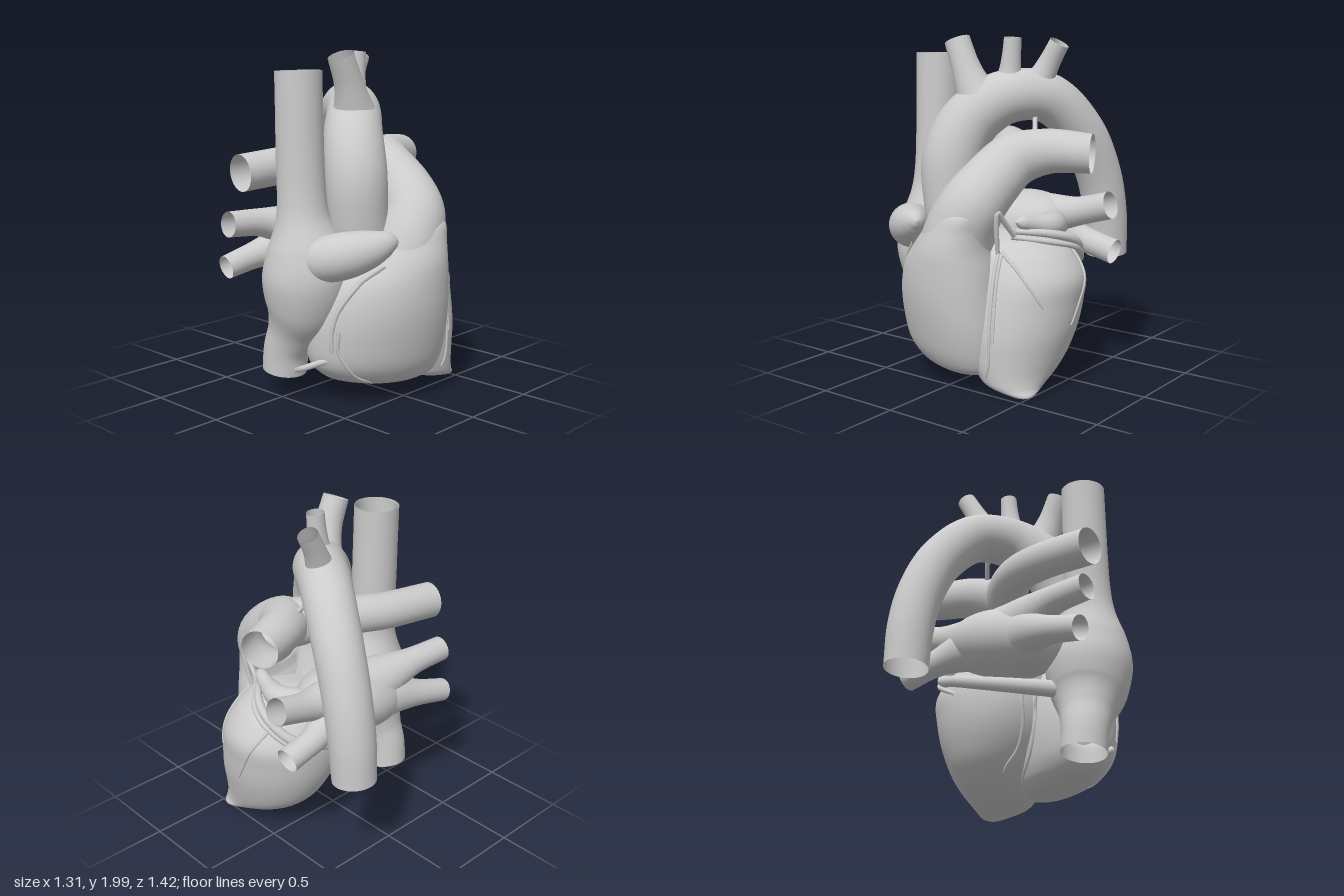
import * as THREE from 'three';
import { mergeVertices } from 'three/addons/utils/BufferGeometryUtils.js';

const material = new THREE.MeshStandardMaterial({ color: 0xcccccc, side: THREE.DoubleSide });
const spline = (pts) => new THREE.CatmullRomCurve3(pts.map((p) => new THREE.Vector3(...p)));

// Welds seams and poles, then gives smooth normals
function smoothMesh(name, geometry) {
  geometry.deleteAttribute('uv');
  geometry.deleteAttribute('normal');
  const welded = mergeVertices(geometry, 1e-4);
  welded.computeVertexNormals();
  const mesh = new THREE.Mesh(welded, material);
  mesh.name = name;
  return mesh;
}

// Open vessel through points [x, y, z, radius]
function vessel(name, pts, sides = 32, steps = 48) {
  const path = spline(pts.map((p) => p.slice(0, 3)));
  const radii = spline(pts.map((p, i) => [p[3], i, 0]));
  const geo = new THREE.TubeGeometry(path, steps, 1, sides, false);
  const pos = geo.attributes.position, nor = geo.attributes.normal;
  for (let i = 0; i < pos.count; i++) {
    const u = Math.floor(i / (sides + 1)) / steps;
    const c = path.getPointAt(u);
    const r = radii.getPoint(path.getUtoTmapping(u)).x;
    pos.setXYZ(i, c.x + nor.getX(i) * r, c.y + nor.getY(i) * r, c.z + nor.getZ(i) * r);
  }
  return smoothMesh(name, geo);
}

// Closed body from level sections [y, centreX, centreZ, radiusX, radiusZ];
// shear pushes each section forward on its left and back on its right
function body(name, sections, shear = 0) {
  const centres = spline(sections.map(([y, x, z]) => [x, y, z]));
  const radii = spline(sections.map(([y, , , rx, rz]) => [rx, y, rz]));
  const geo = new THREE.CylinderGeometry(1, 1, 1, 72, 80, true);
  const pos = geo.attributes.position;
  for (let i = 0; i < pos.count; i++) {
    const t = Math.min(1, Math.max(0, pos.getY(i) + 0.5));
    const c = centres.getPoint(t), r = radii.getPoint(t);
    const dx = pos.getX(i) * r.x;
    pos.setXYZ(i, c.x + dx, c.y, c.z + pos.getZ(i) * r.z + shear * dx);
  }
  return smoothMesh(name, geo);
}

// Thin vessel laid on a surface; points along its path are cast from one side
function surfaceVessel(name, targets, side, pts, r) {
  const hits = [];
  for (const { x: a, y: b } of spline(pts.map((p) => [...p, 0])).getPoints(14)) {
    const origin = { front: [a, b, 3], back: [a, b, -3], left: [3, b, a] }[side];
    const dir = { front: [0, 0, -1], back: [0, 0, 1], left: [-1, 0, 0] }[side];
    const ray = new THREE.Raycaster(new THREE.Vector3(...origin), new THREE.Vector3(...dir));
    const hit = ray.intersectObjects(targets)[0];
    if (hit) hits.push([...hit.point.toArray(), r]);
  }
  hits.forEach((h, i) => { h[3] = r * (1 - 0.4 * i / hits.length); });
  return vessel(name, hits, 8, 48);
}

export function createModel() {
  const heart = new THREE.Group();
  heart.name = 'heart';

  // Ventricles
  const leftVentricle = body('leftVentricle', [
    [0, 0.475, 0.43, 0, 0], [0.015, 0.46, 0.42, 0.065, 0.06], [0.06, 0.36, 0.35, 0.17, 0.18],
    [0.12, 0.325, 0.285, 0.22, 0.26], [0.2, 0.3, 0.24, 0.27, 0.315], [0.35, 0.275, 0.2, 0.335, 0.36],
    [0.5, 0.265, 0.17, 0.365, 0.37], [0.65, 0.27, 0.15, 0.365, 0.35], [0.78, 0.24, 0.15, 0.31, 0.29],
    [0.86, 0.22, 0.16, 0.2, 0.2], [0.89, 0.2, 0.16, 0, 0],
  ]);
  const rightVentricle = body('rightVentricle', [
    [0.065, 0.02, 0.34, 0, 0], [0.078, 0.01, 0.34, 0.17, 0.13], [0.13, -0.03, 0.34, 0.31, 0.22],
    [0.22, -0.065, 0.34, 0.37, 0.27], [0.38, -0.075, 0.35, 0.39, 0.305], [0.55, -0.075, 0.37, 0.375, 0.315],
    [0.7, -0.055, 0.4, 0.335, 0.295], [0.82, -0.01, 0.44, 0.265, 0.255], [0.93, 0.04, 0.465, 0.21, 0.207],
    [1.02, 0.085, 0.465, 0.175, 0.18], [1.1, 0.12, 0.45, 0.1, 0.11], [1.13, 0.13, 0.44, 0, 0],
  ], 0.28);
  const ventricles = [leftVentricle, rightVentricle];
  heart.add(...ventricles);

  // Left atrium, a broad chamber tilted up to the left
  const atrium = new THREE.SphereGeometry(1, 48, 32).scale(0.38, 0.205, 0.26).rotateZ(0.2).translate(0, 0.855, -0.15);
  heart.add(smoothMesh('leftAtrium', atrium));

  // Right atrium, hollow right through with both great veins
  heart.add(vessel('rightAtriumAndGreatVeins', [
    [-0.42, 1.885, 0.07, 0.133], [-0.42, 1.65, 0.075, 0.134], [-0.42, 1.4, 0.08, 0.136],
    [-0.42, 1.2, 0.09, 0.139], [-0.42, 1.06, 0.1, 0.155], [-0.41, 0.9, 0.11, 0.218],
    [-0.405, 0.72, 0.11, 0.253], [-0.41, 0.54, 0.085, 0.222], [-0.425, 0.4, 0.03, 0.16],
    [-0.44, 0.28, -0.02, 0.135], [-0.44, 0.15, -0.04, 0.13],
  ], 48, 90));
  heart.add(vessel('superiorVenaCavaLining', [[-0.42, 1.88, 0.07, 0.118], [-0.42, 1.5, 0.078, 0.12], [-0.42, 1.15, 0.092, 0.128]], 32, 16));

  // Auricles
  heart.add(vessel('rightAuricle', [
    [-0.46, 0.82, 0.18, 0.1], [-0.44, 0.85, 0.28, 0.13], [-0.37, 0.885, 0.4, 0.13],
    [-0.28, 0.92, 0.49, 0.105], [-0.2, 0.95, 0.55, 0.065], [-0.165, 0.957, 0.575, 0.03], [-0.155, 0.96, 0.582, 0.001],
  ]));
  heart.add(vessel('leftAuricle', [
    [0.2, 0.88, -0.15, 0.1], [0.33, 0.9, -0.06, 0.085], [0.39, 0.915, 0.05, 0.072],
    [0.37, 0.935, 0.17, 0.05], [0.34, 0.96, 0.27, 0.035], [0.33, 0.965, 0.31, 0.001],
  ]));

  // Aorta with its arch and the three arch branches
  heart.add(vessel('aorta', [
    [-0.1, 0.8, 0.25, 0.18], [-0.15, 1.05, 0.27, 0.175], [-0.155, 1.3, 0.26, 0.18],
    [-0.09, 1.5, 0.18, 0.172], [0.06, 1.635, 0.04, 0.158], [0.21, 1.625, -0.17, 0.148],
    [0.32, 1.42, -0.37, 0.142], [0.37, 1.15, -0.5, 0.138], [0.385, 0.9, -0.56, 0.135],
    [0.385, 0.645, -0.582, 0.128],
  ], 40, 90));
  const branches = {
    brachiocephalicArtery: [[-0.03, 1.59, 0.14, 0.15], [-0.085, 1.71, 0.165, 0.105], [-0.13, 1.82, 0.175, 0.083], [-0.19, 1.965, 0.175, 0.076]],
    leftCarotidArtery: [[0.07, 1.67, 0.03, 0.1], [0.085, 1.78, 0.03, 0.068], [0.095, 1.87, 0.03, 0.056], [0.105, 1.98, 0.03, 0.051]],
    leftSubclavianArtery: [[0.16, 1.65, -0.09, 0.11], [0.215, 1.76, -0.115, 0.077], [0.26, 1.85, -0.13, 0.063], [0.315, 1.95, -0.14, 0.059]],
  };
  for (const [name, pts] of Object.entries(branches)) heart.add(vessel(name, pts, 28, 28));

  // Pulmonary trunk running into the left artery, with the right artery behind the aorta
  heart.add(vessel('pulmonaryTrunk', [
    [0.02, 0.8, 0.45, 0.22], [0.075, 0.94, 0.465, 0.2], [0.135, 1.06, 0.445, 0.185],
    [0.18, 1.18, 0.34, 0.17], [0.22, 1.29, 0.18, 0.157], [0.36, 1.34, 0.045, 0.13],
    [0.6, 1.335, -0.055, 0.113],
  ], 36, 64));
  heart.add(vessel('rightPulmonaryArtery', [
    [0.215, 1.26, 0.22, 0.13], [0.18, 1.3, 0.13, 0.145], [0.09, 1.335, 0.02, 0.125], [-0.04, 1.345, -0.08, 0.113],
    [-0.25, 1.33, -0.16, 0.11], [-0.61, 1.305, -0.21, 0.108],
  ]));
  heart.add(vessel('arterialLigament', [[0.2, 1.55, -0.06, 0.018], [0.23, 1.48, -0.02, 0.014], [0.27, 1.4, 0.04, 0.018]], 10, 12));

  // Pulmonary veins, flared where they leave the left atrium
  const veins = {
    rightUpperPulmonaryVein: [[-0.08, 0.9, -0.19, 0.18], [-0.24, 0.95, -0.24, 0.125], [-0.4, 0.985, -0.275, 0.085], [-0.63, 1.0, -0.3, 0.075]],
    rightLowerPulmonaryVein: [[-0.08, 0.84, -0.2, 0.18], [-0.24, 0.82, -0.27, 0.125], [-0.4, 0.785, -0.32, 0.083], [-0.61, 0.735, -0.35, 0.07]],
    leftUpperPulmonaryVein: [[0.1, 0.9, -0.17, 0.17], [0.26, 0.935, -0.19, 0.12], [0.42, 0.965, -0.205, 0.086], [0.63, 1.02, -0.215, 0.08]],
    leftLowerPulmonaryVein: [[0.1, 0.86, -0.18, 0.17], [0.26, 0.83, -0.24, 0.115], [0.42, 0.78, -0.28, 0.078], [0.62, 0.73, -0.285, 0.074]],
  };
  for (const [name, pts] of Object.entries(veins)) heart.add(vessel(name, pts, 28, 28));

  // Coronary vessels around the groove
  heart.add(vessel('coronarySinus', [
    [0.32, 0.91, 0.3, 0.015], [0.46, 0.89, 0.15, 0.024], [0.52, 0.84, 0, 0.027], [0.46, 0.73, -0.14, 0.03],
    [0.3, 0.67, -0.22, 0.035], [0.1, 0.62, -0.2, 0.04], [-0.1, 0.58, -0.14, 0.045], [-0.3, 0.55, -0.04, 0.05],
  ], 16, 60));
  heart.add(vessel('circumflexArtery', [
    [0.31, 0.88, 0.32, 0.014], [0.47, 0.85, 0.18, 0.016], [0.54, 0.8, 0.01, 0.016], [0.47, 0.69, -0.15, 0.015], [0.32, 0.6, -0.2, 0.012],
  ], 12, 48));
  heart.add(vessel('leftCoronaryArtery', [
    [0.29, 0.8, 0.42, 0.012], [0.305, 0.93, 0.45, 0.014], [0.315, 1.04, 0.46, 0.015], [0.32, 0.97, 0.39, 0.015], [0.33, 0.89, 0.32, 0.014],
  ], 10, 36));

  // Coronary vessels lying on the ventricles
  const coronaries = [
    ['anteriorArtery', 'front', [[0.315, 0.8], [0.335, 0.66], [0.35, 0.48], [0.355, 0.33]], 0.011],
    ['anteriorVein', 'front', [[0.295, 0.8], [0.315, 0.65], [0.33, 0.4], [0.325, 0.2], [0.3, 0.12]], 0.012],
    ['diagonalArtery', 'front', [[0.31, 0.81], [0.42, 0.73], [0.52, 0.62], [0.57, 0.52]], 0.01],
    ['rightCoronaryArtery', 'front', [[-0.22, 0.82], [-0.34, 0.72], [-0.42, 0.58], [-0.445, 0.45], [-0.44, 0.33]], 0.018],
    ['marginalArtery', 'front', [[-0.43, 0.45], [-0.42, 0.32], [-0.34, 0.19], [-0.2, 0.11]], 0.011],
    ['leftMarginalArtery', 'left', [[-0.03, 0.8], [0.02, 0.68], [0.1, 0.52], [0.17, 0.39]], 0.011],
    ['posteriorArtery', 'back', [[-0.08, 0.58], [-0.07, 0.4], [-0.02, 0.25], [0.08, 0.14]], 0.015],
    ['posteriorVein', 'back', [[-0.04, 0.58], [-0.03, 0.42], [0.03, 0.28], [0.14, 0.16]], 0.013],
  ];
  for (const [name, side, pts, r] of coronaries) heart.add(surfaceVessel(name, ventricles, side, pts, r));

  // Small vein crossing from the lower right edge to the inferior vena cava
  heart.add(vessel('smallCardiacVein', [[-0.36, 0.3, 0.4, 0.012], [-0.44, 0.26, 0.28, 0.018], [-0.49, 0.21, 0.17, 0.018], [-0.48, 0.18, 0.1, 0.015]], 10, 24));

  return heart;
}
